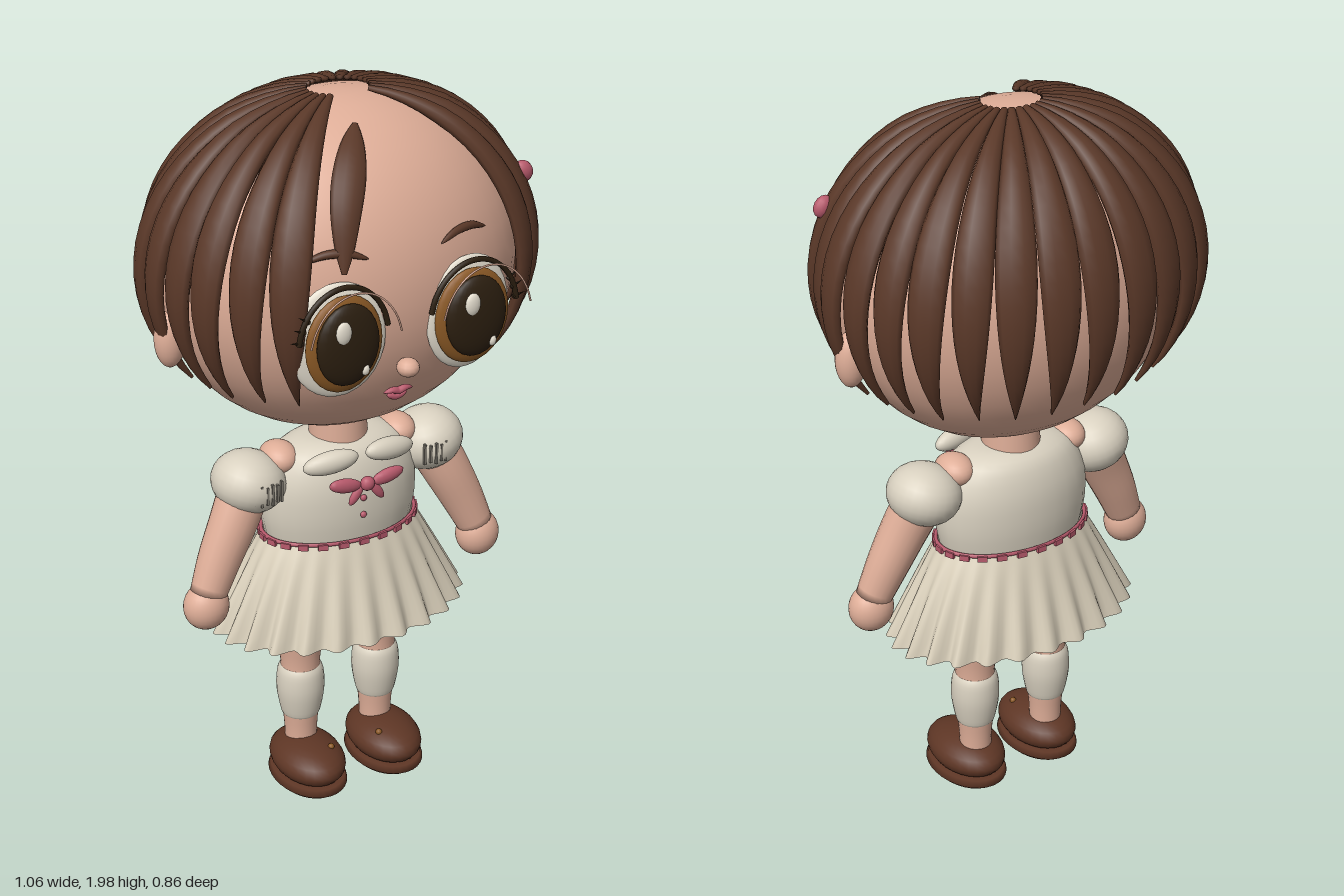
import * as THREE from 'three';

const paint = (name, color) => Object.assign(new THREE.MeshStandardMaterial({ color }), { name });
const M = {
  skin: paint('skin', 0xdfae98), hair: paint('hair brown', 0x5a3828),
  cream: paint('blouse cream', 0xd9d1c0), skirt: paint('skirt cream', 0xd9cfba),
  rose: paint('rose', 0xb85a6c), amber: paint('amber', 0x8c5a26),
  dark: paint('dark brown', 0x2c1f10), white: paint('eye white', 0xe6dfd0),
  shoe: paint('shoe brown', 0x5e3625), grey: paint('thread grey', 0x7d786e),
};
M.skirt.side = THREE.DoubleSide;
const V = (x, y, z) => new THREE.Vector3(x, y, z);
const HEAD = { y: 1.53, rx: 0.48, ry: 0.44, rz: 0.36 };

function add(parent, name, geo, mat, pos = [0, 0, 0], rot = [0, 0, 0]) {
  const m = new THREE.Mesh(geo, mat);
  m.name = name;
  m.position.set(...pos);
  m.rotation.set(...rot);
  parent.add(m);
  return m;
}
// Ellipsoid, with fewer facets when small
function blob(parent, name, mat, pos, size, rot) {
  const n = Math.max(...size) > 0.2 ? 24 : Math.max(...size) > 0.05 ? 14 : 8;
  const m = add(parent, name, new THREE.SphereGeometry(1, n * 2, n), mat, pos, rot);
  m.scale.set(...size);
  return m;
}
const lathe = (pts) => new THREE.LatheGeometry(
  new THREE.SplineCurve(pts.map((p) => new THREE.Vector2(...p))).getPoints(16), 28);

// Closed surface through rings of {c, n, w, t}: centre, normal, half width, half thickness
function sweep(rings, sides = 10) {
  const pos = [], idx = [];
  const last = rings.length - 1;
  const all = [{ ...rings[0], w: 0, t: 0 }, ...rings, { ...rings[last], w: 0, t: 0 }];
  all.forEach(({ c, n, w, t }, k) => {
    const i = Math.min(Math.max(k - 1, 0), last);
    const d = rings[Math.min(i + 1, last)].c.clone().sub(rings[Math.max(i - 1, 0)].c).normalize();
    const side = n.clone().cross(d).normalize();
    const up = d.clone().cross(side);
    for (let j = 0; j < sides; j++) {
      const a = (j / sides) * Math.PI * 2;
      const p = c.clone().addScaledVector(side, w * Math.cos(a)).addScaledVector(up, t * Math.sin(a));
      pos.push(p.x, p.y, p.z);
      if (k === all.length - 1) continue;
      const A = k * sides + j, B = k * sides + (j + 1) % sides;
      idx.push(A, B, A + sides, B, B + sides, A + sides);
    }
  });
  const g = new THREE.BufferGeometry();
  g.setAttribute('position', new THREE.Float32BufferAttribute(pos, 3));
  g.setIndex(idx);
  g.computeVertexNormals();
  return g;
}

// Front surface of the head, and its normal
const onHead = (x, y, lift = 0) => V(x, y, lift + HEAD.rz *
  Math.sqrt(Math.max(0, 1 - (x / HEAD.rx) ** 2 - ((y - HEAD.y) / HEAD.ry) ** 2)));
const headNormal = (p) => V(p.x / HEAD.rx ** 2, (p.y - HEAD.y) / HEAD.ry ** 2, p.z / HEAD.rz ** 2).normalize();
function faceStroke(pts, w, t, lift, power) {
  const curve = new THREE.CatmullRomCurve3(pts.map(([x, y]) => onHead(x, y, lift)));
  return sweep(curve.getPoints(16).map((c, i) => {
    const f = Math.max(0.15, Math.max(0, Math.sin(Math.PI * i / 16)) ** power);
    return { c, n: headNormal(c), w: w * f, t: t * f };
  }));
}

function buildHair(g) {
  const hair = new THREE.Group();
  hair.name = 'hair';
  g.add(hair);
  const count = 22, step = THREE.MathUtils.degToRad(274 / (count - 1));
  for (let k = 0; k < count; k++) {
    const phi = THREE.MathUtils.degToRad(41) - k * step;
    const grow = 1 + 0.012 * Math.sin(k * 2.4);
    const rx = 0.508 * grow, ry = 0.44, rz = 0.41 * grow;
    const gap = step * Math.hypot(rx * Math.sin(phi), rz * Math.cos(phi));
    const rings = [];
    for (let i = 0; i <= 20; i++) {
      const th = 0.16 + (i / 20) * 2.03, s = Math.sin(th);
      const c = V(rx * s * Math.cos(phi), 1.54 + ry * Math.cos(th), rz * s * Math.sin(phi));
      const n = V(c.x / rx ** 2, (c.y - 1.54) / ry ** 2, c.z / rz ** 2).normalize();
      const taper = th < 1 ? 1 : Math.max(0.04, 1 - ((th - 1) / 1.2) ** 2);
      rings.push({ c, n, w: gap * s * 0.5 * taper, t: 0.022 * Math.min(1, 0.3 + i / 6) * Math.sqrt(taper) });
    }
    add(hair, 'hairStrand', sweep(rings), M.hair);
  }
  add(hair, 'fringeLock', faceStroke([[-0.035, 1.935], [-0.09, 1.87], [-0.135, 1.78], [-0.165, 1.64]],
    0.042, 0.018, 0.015, 0.6), M.hair);
  blob(hair, 'hairClip', M.rose, [0.435, 1.735, 0.17], [0.025, 0.03, 0.02], [0, 0, 0.6]);
}

function buildEye(g, s) {
  const eye = new THREE.Group();
  eye.name = s > 0 ? 'leftEye' : 'rightEye';
  g.add(eye);
  const x = s * 0.18, y = 1.472;
  blob(eye, 'eyeWhite', M.white, [x, y, 0.335], [0.125, 0.15, 0.026], [0, s * 0.12, 0]);
  blob(eye, 'iris', M.amber, [s * 0.177, y, 0.362], [0.104, 0.126, 0.026]);
  blob(eye, 'pupil', M.dark, [s * 0.177, y + 0.006, 0.383], [0.084, 0.106, 0.026]);
  blob(eye, 'largeHighlight', M.white, [s * 0.177 - 0.022, 1.52, 0.403], [0.021, 0.03, 0.01]);
  blob(eye, 'smallHighlight', M.white, [s * 0.177 + 0.04, 1.41, 0.396], [0.011, 0.015, 0.01]);
  // Upper lash line, side lashes and thin lid crease
  const arc = (rx, ry, z, r, from, to) => new THREE.TubeGeometry(new THREE.CatmullRomCurve3(
    Array.from({ length: 13 }, (_, i) => {
      const a = from + (to - from) * i / 12;
      return V(x + s * rx * Math.cos(a), y + ry * Math.sin(a), z);
    })), 32, r, 6);
  add(eye, 'lashLine', arc(0.122, 0.148, 0.368, 0.007, 0.15, 2.95), M.dark);
  add(eye, 'lidCrease', arc(0.125, 0.158, 0.432, 0.0025, 0.25, 2.9), M.skin);
  for (const a of [0.2, 0.4, 0.6]) {
    add(eye, 'sideLash', new THREE.ConeGeometry(0.006, 0.035, 6), M.dark,
      [x + s * 0.13 * Math.cos(a), y + 0.155 * Math.sin(a), 0.368], [0, 0, s * (a - Math.PI / 2)]);
  }
  add(eye, 'eyebrow', faceStroke([[s * 0.1, 1.668], [s * 0.15, 1.685], [s * 0.2, 1.685], [s * 0.25, 1.668]],
    0.011, 0.01, 0.008, 0.5), M.hair);
}

function buildSide(g, s) {
  buildEye(g, s);
  blob(g, 'ear', M.skin, [s * 0.47, 1.4, 0], [0.04, 0.075, 0.038]);
  // Arm, hand and puff sleeve
  const arm = new THREE.CatmullRomCurve3([V(s * 0.26, 0.97, 0), V(s * 0.315, 0.86, 0.02),
    V(s * 0.365, 0.76, 0.03), V(s * 0.405, 0.67, 0.04)]);
  add(g, 'arm', sweep(arm.getPoints(14).map((c, i) => {
    const r = 0.07 - 0.02 * (i / 14) ** 1.5;
    return { c, n: V(0, 0, 1), w: r, t: r * 0.9 };
  }), 20), M.skin);
  blob(g, 'hand', M.skin, [s * 0.412, 0.638, 0.042], [0.062, 0.066, 0.055]);
  blob(g, 'puffSleeve', M.cream, [s * 0.265, 0.953, 0.005], [0.1, 0.083, 0.1], [0, 0, s * 0.25]);
  blob(g, 'shoulder', M.skin, [s * 0.175, 1.0, 0], [0.05, 0.042, 0.06]);
  for (let i = 0; i < 6; i++) {
    add(g, 'sleeveThread', new THREE.BoxGeometry(0.006, 0.06 - 0.01 * (i % 2), 0.008), M.grey,
      [s * (0.212 + i * 0.015), 0.95, 0.091 + 0.01 * Math.sin(i / 5 * Math.PI)]);
  }
  blob(g, 'collar', M.cream, [s * 0.086, 1.016, 0.122], [0.076, 0.031, 0.027], [0, s * 0.15, -s * 0.12]);
  // Leg, sock and shoe
  const x = s * 0.117;
  add(g, 'leg', lathe([[0.044, 0.09], [0.046, 0.16], [0.058, 0.27], [0.054, 0.36], [0.068, 0.46],
    [0.076, 0.54], [0.074, 0.64]]), M.skin, [x, 0, 0]);
  add(g, 'sock', lathe([[0.046, 0.195], [0.054, 0.2], [0.066, 0.27], [0.063, 0.33], [0.05, 0.355]]), M.cream, [x, 0, 0]);
  const shoe = new THREE.Group();
  shoe.name = 'shoe';
  shoe.position.set(s * 0.12, 0, 0.045);
  g.add(shoe);
  blob(shoe, 'shoeUpper', M.shoe, [0, 0.07, 0], [0.096, 0.058, 0.137]);
  const sole = [[0, 0], [0.085, 0.002], [0.1, 0.018], [0.094, 0.036], [0, 0.04]].map((q) => new THREE.Vector2(...q));
  add(shoe, 'sole', new THREE.LatheGeometry(sole, 32), M.shoe).scale.z = 1.4;
  blob(shoe, 'buckle', M.amber, [-s * 0.045, 0.116, 0.055], [0.009, 0.009, 0.009]);
}

function buildDress(g) {
  add(g, 'blouse', lathe([[0.21, 0.77], [0.222, 0.84], [0.217, 0.93], [0.18, 1.005], [0.12, 1.035], [0.06, 1.04]]),
    M.cream).scale.z = 0.62;
  // Pleated skirt with waves that deepen toward the hem
  const skirt = new THREE.CylinderGeometry(1, 1, 0.275, 168, 8, true);
  const p = skirt.attributes.position;
  for (let i = 0; i < p.count; i++) {
    const a = Math.atan2(p.getZ(i), p.getX(i));
    const u = THREE.MathUtils.clamp(0.5 - p.getY(i) / 0.275, 0, 1);
    const wave = 1 + 0.055 * u * Math.sin(a * 24);
    const flare = u ** 0.9;
    p.setX(i, Math.cos(a) * (0.213 + 0.138 * flare) * wave);
    p.setZ(i, Math.sin(a) * (0.137 + 0.09 * flare) * wave);
  }
  skirt.computeVertexNormals();
  add(g, 'skirt', skirt, M.skirt, [0, 0.643, 0]);
  const cord = add(g, 'waistCord', new THREE.TorusGeometry(0.219, 0.006, 8, 64), M.rose, [0, 0.778, 0], [Math.PI / 2, 0, 0]);
  cord.scale.y = 0.65;
  for (let i = 0; i < 24; i++) {
    const a = (i / 24) * Math.PI * 2;
    add(g, 'waistStitch', new THREE.BoxGeometry(0.026, 0.016, 0.012), M.rose,
      [0.222 * Math.cos(a), 0.773, 0.145 * Math.sin(a)], [0, Math.atan2(0.145 * Math.cos(a), 0.222 * Math.sin(a)), 0]);
  }
  // Neck bow and buttons
  for (const s of [-1, 1]) {
    blob(g, 'bowLoop', M.rose, [s * 0.062, 0.958, 0.157], [0.048, 0.02, 0.014], [0, 0, s * 0.2]);
    blob(g, 'bowTail', M.rose, [s * 0.03, 0.925, 0.157], [0.013, 0.034, 0.01], [0, 0, s * 0.6]);
  }
  blob(g, 'bowKnot', M.rose, [0, 0.952, 0.162], [0.02, 0.02, 0.017]);
  for (const y of [0.9, 0.85]) blob(g, 'button', M.rose, [0, y, 0.142], [0.009, 0.009, 0.007]);
}

export function createModel() {
  const g = new THREE.Group();
  g.name = 'doll';
  blob(g, 'head', M.skin, [0, HEAD.y, 0], [HEAD.rx, HEAD.ry, HEAD.rz]);
  blob(g, 'nose', M.skin, [0, 1.37, 0.362], [0.029, 0.024, 0.03]);
  add(g, 'upperLip', faceStroke([[-0.04, 1.288], [-0.018, 1.293], [0, 1.287], [0.018, 1.293], [0.04, 1.288]],
    0.009, 0.01, 0.015, 0.5), M.rose);
  add(g, 'lowerLip', faceStroke([[-0.028, 1.277], [0, 1.268], [0.028, 1.277]], 0.01, 0.01, 0.015, 0.5), M.rose);
  add(g, 'neck', new THREE.CylinderGeometry(0.074, 0.08, 0.16, 32), M.skin, [0, 1.06, 0]);
  blob(g, 'hips', M.skin, [0, 0.62, 0], [0.18, 0.12, 0.115]);
  buildHair(g);
  buildDress(g);
  for (const s of [-1, 1]) buildSide(g, s);
  return g;
}
